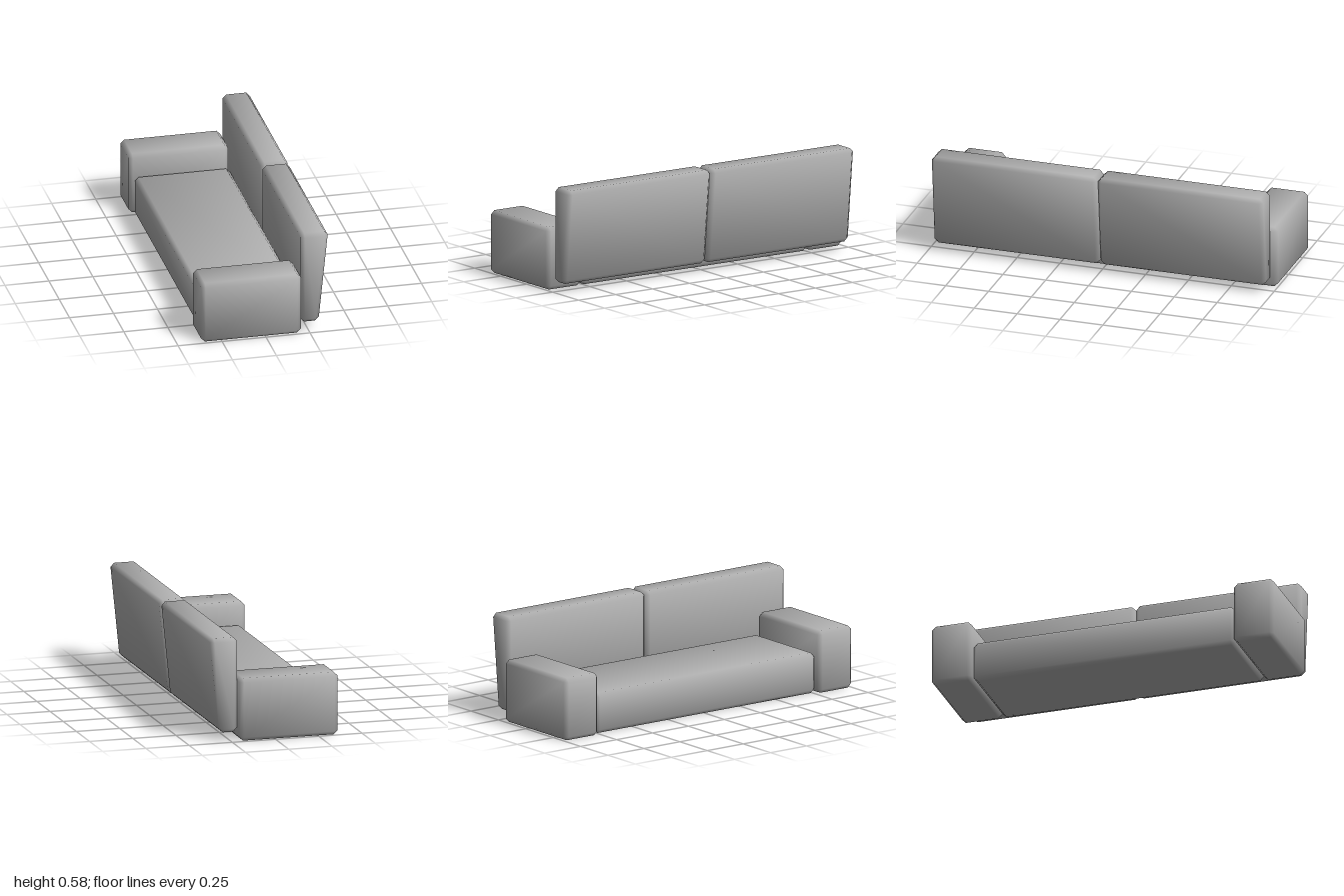
import * as THREE from 'three';
import { ConvexGeometry } from 'three/addons/geometries/ConvexGeometry.js';

const BEVEL = 0.022;
const SOFTNESS = 0.39; // how far normals lean towards the bevels

// Box with single-step bevels and soft normals; taper leans its +x side outwards with height
function cushionGeometry(min, max, taper = 0) {
  const size = min.map((m, i) => max[i] - m);
  const half = size.map((s) => s / 2);
  const points = [];
  for (const sx of [-1, 1]) for (const sy of [-1, 1]) for (const sz of [-1, 1]) {
    const signs = [sx, sy, sz];
    for (let axis = 0; axis < 3; axis++) {
      const p = signs.map((s, i) => s * (half[i] - (i === axis ? 0 : BEVEL)));
      points.push(new THREE.Vector3(...p));
    }
  }
  const geometry = new ConvexGeometry(points);
  const pos = geometry.attributes.position;
  const normal = geometry.attributes.normal;
  const n = new THREE.Vector3();
  for (let i = 0; i < pos.count; i++) {
    const p = [pos.getX(i), pos.getY(i), pos.getZ(i)];
    n.set(...p.map((c, a) => Math.sign(c) * (half[a] - Math.abs(c) < BEVEL / 2 ? 1 : SOFTNESS)));
    if (p[0] > 0) {
      n.y -= taper * n.x;
      pos.setX(i, p[0] + taper * p[1]);
    }
    n.normalize();
    normal.setXYZ(i, n.x, n.y, n.z);
  }
  geometry.translate(...min.map((m, i) => m + half[i]));
  return geometry;
}

export function createModel() {
  const sofa = new THREE.Group();
  sofa.name = 'sofa';
  const fabric = new THREE.MeshStandardMaterial({ color: 0xb0b0b0 });
  fabric.name = 'grey fabric';

  const add = (name, min, max, taper) => {
    const mesh = new THREE.Mesh(cushionGeometry(min, max, taper), fabric);
    mesh.name = name;
    sofa.add(mesh);
  };

  // Long seat, open towards -x
  add('seat', [-0.338, 0, -0.763], [0.203, 0.23, 0.763]);

  // Armrests and tapered back cushions, one of each per end
  for (const side of [-1, 1]) {
    const end = side < 0 ? 'Far' : 'Near';
    const span = (a, b) => (side < 0 ? [-b, -a] : [a, b]);
    const [a0, a1] = span(0.765, 1);
    add('armrest' + end, [-0.365, 0, a0], [0.203, 0.355, a1]);
    const [b0, b1] = span(0.002, 0.967);
    add('backCushion' + end, [0.207, 0.047, b0], [0.338, 0.585, b1], 0.1016);
  }
  return sofa;
}
